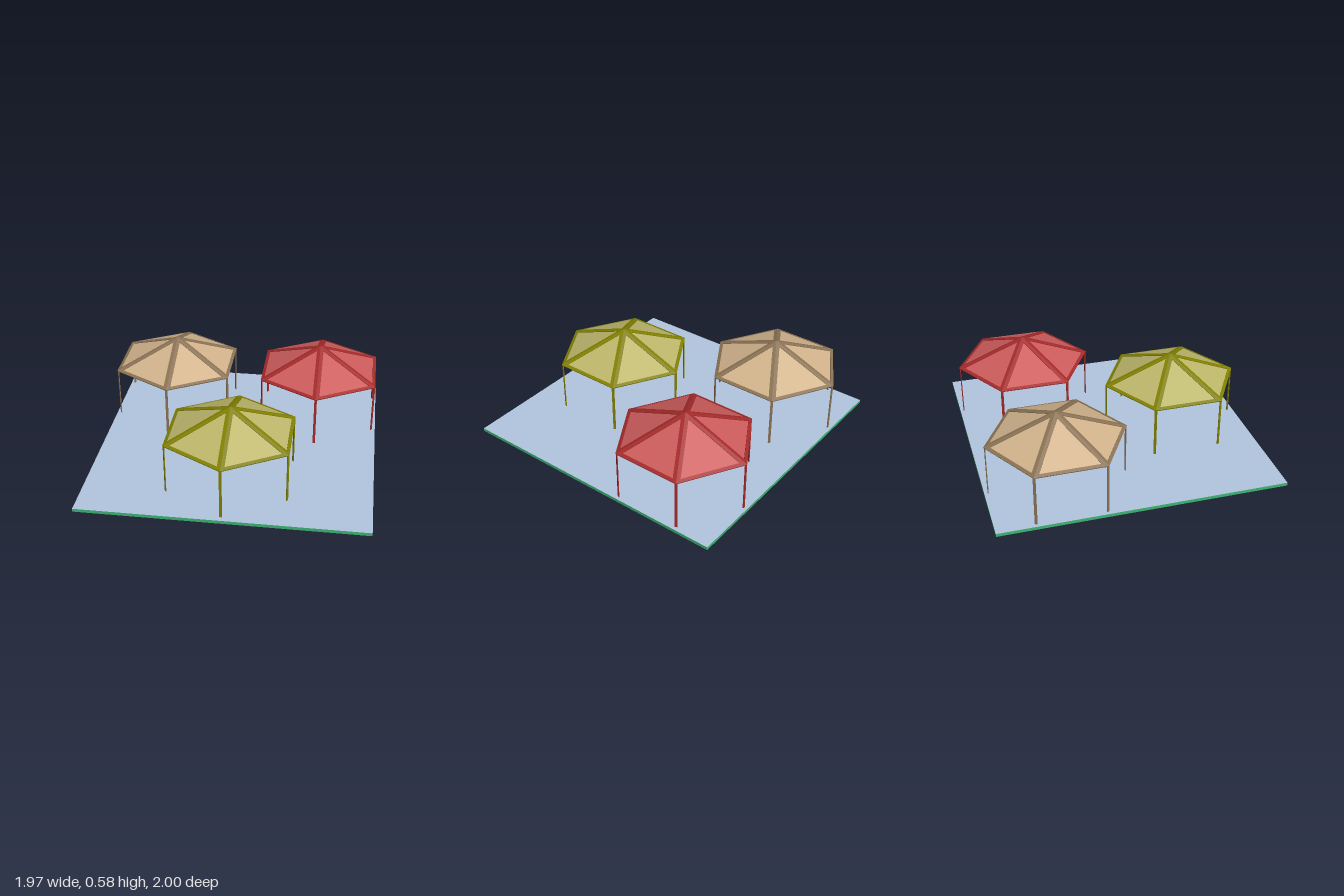
import * as THREE from 'three';

const RADIUS = 0.487;                 // roof centre to corner
const APOTHEM = RADIUS * Math.cos(Math.PI / 6);
const EAVE = 0.388, PEAK = 0.58;
const BASE_H = 0.023;
const THICK = 0.008;                  // frame thickness

const mat = (color, double = false) => new THREE.MeshStandardMaterial({
  color, flatShading: true, side: double ? THREE.DoubleSide : THREE.FrontSide,
});

function mesh(name, geometry, material) {
  const m = new THREE.Mesh(geometry, material);
  m.name = name;
  return m;
}

// One sloping roof face: outer triangle, and the panel opening left by ribs and eave
function roofShapes() {
  const w = RADIUS / 2;
  const slope = Math.hypot(APOTHEM, PEAK - EAVE);
  const side = Math.hypot(w, slope);
  const rib = 0.025, eave = 0.024;
  const open = w * (1 - eave / slope) - rib * side / slope;
  const apex = slope - rib * side / w;
  const tri = (half, bottom, top) => [
    new THREE.Vector2(-half, bottom), new THREE.Vector2(half, bottom), new THREE.Vector2(0, top),
  ];
  const frame = new THREE.Shape(tri(w, 0, slope));
  frame.holes.push(new THREE.Path(tri(open, eave, apex).reverse()));
  return { frame, panel: new THREE.Shape(tri(open, eave, apex)) };
}

function createPavilion(name, x, z, frameColor, panelColor) {
  const group = new THREE.Group();
  group.name = name;
  group.position.set(x, 0, z);

  const frameMat = mat(frameColor);
  const panelMat = mat(panelColor, true);
  const shapes = roofShapes();
  const frameGeo = new THREE.ExtrudeGeometry(shapes.frame, { depth: THICK, bevelEnabled: false });
  frameGeo.translate(0, 0, -THICK);
  const panelGeo = new THREE.ShapeGeometry(shapes.panel);
  panelGeo.translate(0, 0, -THICK / 2);

  const postH = EAVE - 0.003;
  const postGeo = new THREE.BoxGeometry(0.018, postH, 0.006);

  for (let i = 0; i < 6; i++) {
    // Roof face, leaning in to the peak
    const sector = new THREE.Group();
    sector.name = 'roofSector';
    sector.rotation.y = (i + 0.5) * Math.PI / 3;
    const face = new THREE.Group();
    face.name = 'roofFace';
    face.position.set(0, EAVE, APOTHEM);
    face.rotation.x = -Math.atan2(APOTHEM, PEAK - EAVE);
    face.add(mesh('roofFrame', frameGeo, frameMat), mesh('roofPanel', panelGeo, panelMat));
    sector.add(face);
    group.add(sector);

    // Flat corner post, broad side facing outward
    const a = i * Math.PI / 3;
    const r = RADIUS - 0.009;
    const post = mesh('post', postGeo, frameMat);
    post.position.set(Math.sin(a) * r, 0.002 + postH / 2, Math.cos(a) * r);
    post.rotation.y = a;
    group.add(post);
  }
  return group;
}

export function createModel() {
  const model = new THREE.Group();
  model.name = 'pavilions';

  // Ground slab: green rim, blue-grey top and underside
  const rim = mat(0x3cb371), floor = mat(0xb0c4de);
  const slab = mesh('groundSlab', new THREE.BoxGeometry(1.974, BASE_H, 2),
    [rim, rim, floor, floor, rim, rim]);
  slab.position.y = BASE_H / 2;
  model.add(slab);

  model.add(
    createPavilion('tanPavilion', -0.544, -0.495, 0x8b7355, 0xd2b48c),
    createPavilion('redPavilion', 0.544, -0.495, 0xa52a2a, 0xcd5c5c),
    createPavilion('olivePavilion', 0, 0.48, 0x808000, 0xbdb76b),
  );
  return model;
}
